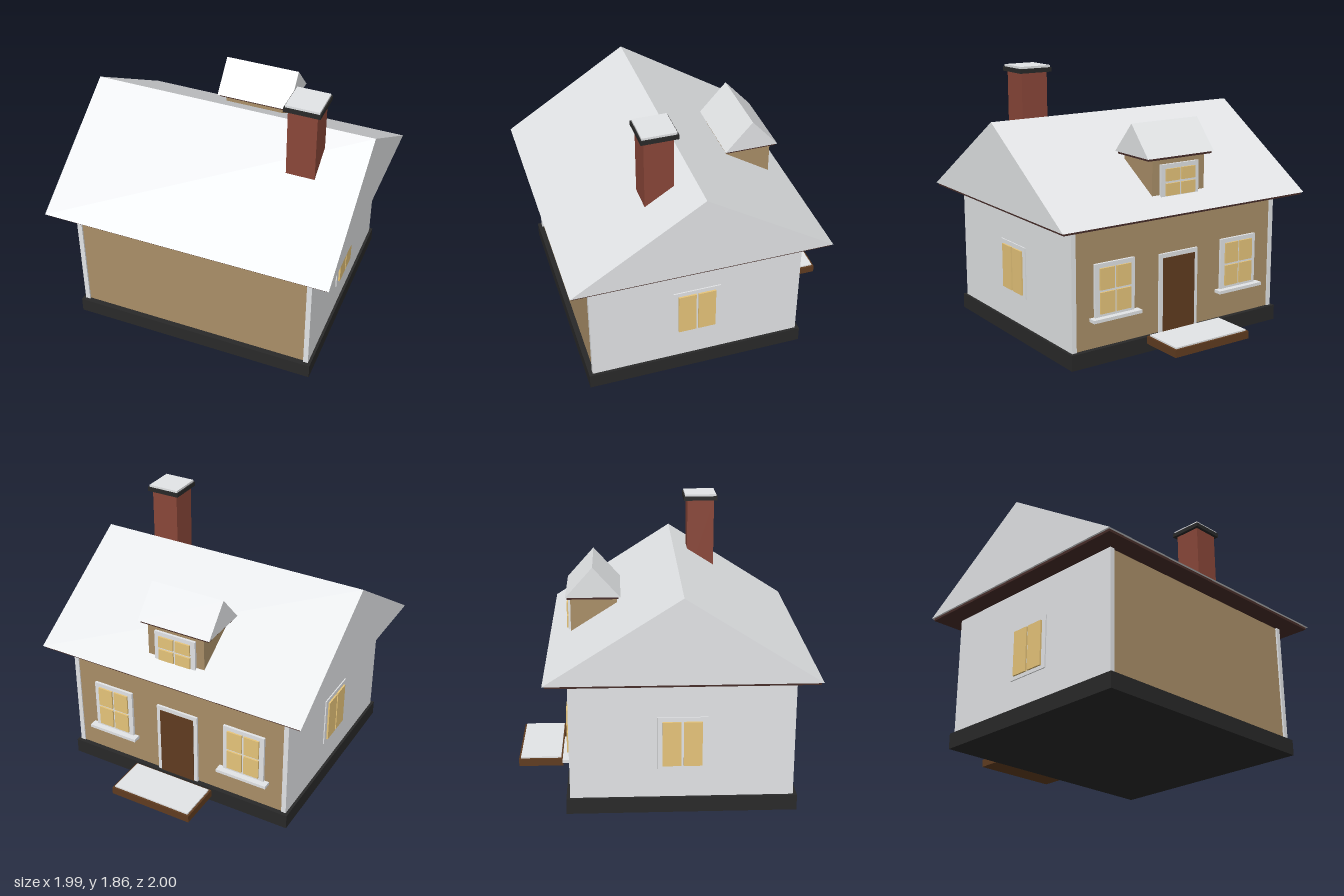
import * as THREE from 'three';

const mat = (name, color) => Object.assign(new THREE.MeshStandardMaterial({ color }), { name });

export function createModel() {
  const house = new THREE.Group();
  house.name = 'house';
  const snow = mat('snow white', 0xeceef0);
  const timber = mat('tan wall', 0xaa8f68);
  const stone = mat('dark stone', 0x292929);
  const brick = mat('red brick', 0x8a4739);
  const glass = mat('warm glass', 0xeecb7e);
  const wood = mat('brown wood', 0x603c20);
  const eave = mat('dark eave', 0x472d29);

  // Box given by its limits on each axis
  function box(name, m, [x0, x1], [y0, y1], [z0, z1], parent = house) {
    const mesh = new THREE.Mesh(new THREE.BoxGeometry(x1 - x0, y1 - y0, z1 - z0), m);
    mesh.position.set((x0 + x1) / 2, (y0 + y1) / 2, (z0 + z1) / 2);
    mesh.name = name;
    parent.add(mesh);
    return mesh;
  }

  // Solid gable roof with its ridge along x
  function gable(name, halfLength, z0, z1, y0, y1) {
    const s = new THREE.Shape();
    s.moveTo(-z1, y0);
    s.lineTo(-z0, y0);
    s.lineTo(-(z0 + z1) / 2, y1);
    s.closePath();
    const g = new THREE.ExtrudeGeometry(s, { depth: 2 * halfLength, bevelEnabled: false });
    g.translate(0, 0, -halfLength);
    g.rotateY(Math.PI / 2);
    const mesh = new THREE.Mesh(g, snow);
    mesh.name = name;
    house.add(mesh);
  }

  // Window facing +z at its own origin: frame plate with separate raised panes
  function makeWindow(name, { w, y0, y1, margin, rows, sill }) {
    const g = new THREE.Group();
    g.name = name;
    box('windowFrame', snow, [-w - 0.035, w + 0.035], [y0 - margin, y1 + 0.03], [-0.01, 0.012], g);
    const gap = 0.016;
    const h = (y1 - y0 - gap * (rows - 1)) / rows;
    for (const side of [-1, 1]) {
      for (let r = 0; r < rows; r++) {
        const x = [side * gap / 2, side * w].sort((a, b) => a - b);
        const y = y0 + r * (h + gap);
        box('windowPane', glass, x, [y, y + h], [0.012, 0.024], g);
      }
    }
    if (sill) box('windowSill', snow, [-w - 0.07, w + 0.07], [0.295, 0.317], [-0.01, 0.052], g);
    house.add(g);
    return g;
  }

  // Base and walls
  box('foundation', stone, [-0.865, 0.865], [0, 0.107], [-0.645, 0.883]);
  box('mainWalls', timber, [-0.815, 0.815], [0.1, 0.945], [-0.612, 0.845]);
  for (const s of [-1, 1]) {
    const x = s > 0 ? [0.812, 0.846] : [-0.846, -0.812];
    box('sideWall', snow, x, [0.1, 0.945], [-0.62, 0.857]);
  }

  // Main roof
  box('eaveBoard', eave, [-0.982, 0.982], [0.938, 0.955], [-0.755, 0.985]);
  gable('mainRoof', 0.995, -0.77, 1, 0.955, 1.52);

  // Chimney
  box('chimneyStack', brick, [0.497, 0.693], [1.2, 1.81], [0.23, 0.425]);
  box('chimneyCap', stone, [0.473, 0.717], [1.81, 1.84], [0.203, 0.448]);
  box('chimneySnow', snow, [0.482, 0.708], [1.84, 1.855], [0.212, 0.439]);

  // Dormer
  box('dormerWalls', timber, [-0.215, 0.215], [1.0, 1.297], [-0.612, -0.295]);
  box('dormerEave', eave, [-0.26, 0.26], [1.294, 1.31], [-0.633, -0.283]);
  gable('dormerRoof', 0.272, -0.645, -0.27, 1.31, 1.52);
  const dormerWindow = makeWindow('dormerWindow', { w: 0.12, y0: 1.05, y1: 1.23, margin: 0.015, rows: 2 });
  dormerWindow.position.z = -0.618;
  dormerWindow.rotation.y = Math.PI;

  // Entrance-side and end windows
  for (const s of [-1, 1]) {
    const w = makeWindow('entranceWindow', { w: 0.12, y0: 0.338, y1: 0.645, margin: 0.03, rows: 2, sill: true });
    w.position.set(s * 0.52, 0, -0.618);
    w.rotation.y = Math.PI;
    const e = makeWindow('endWindow', { w: 0.13, y0: 0.335, y1: 0.645, margin: 0.025, rows: 1 });
    e.position.set(s * 0.842, 0, 0.12);
    e.rotation.y = s * Math.PI / 2;
  }

  // Door and step
  box('doorFrame', snow, [-0.16, 0.16], [0.105, 0.655], [-0.628, -0.61]);
  box('door', wood, [-0.132, 0.132], [0.105, 0.625], [-0.633, -0.61]);
  box('porchStep', wood, [-0.307, 0.307], [0.082, 0.135], [-1, -0.69]);
  box('porchSnow', snow, [-0.293, 0.293], [0.135, 0.145], [-0.987, -0.703]);

  return house;
}
